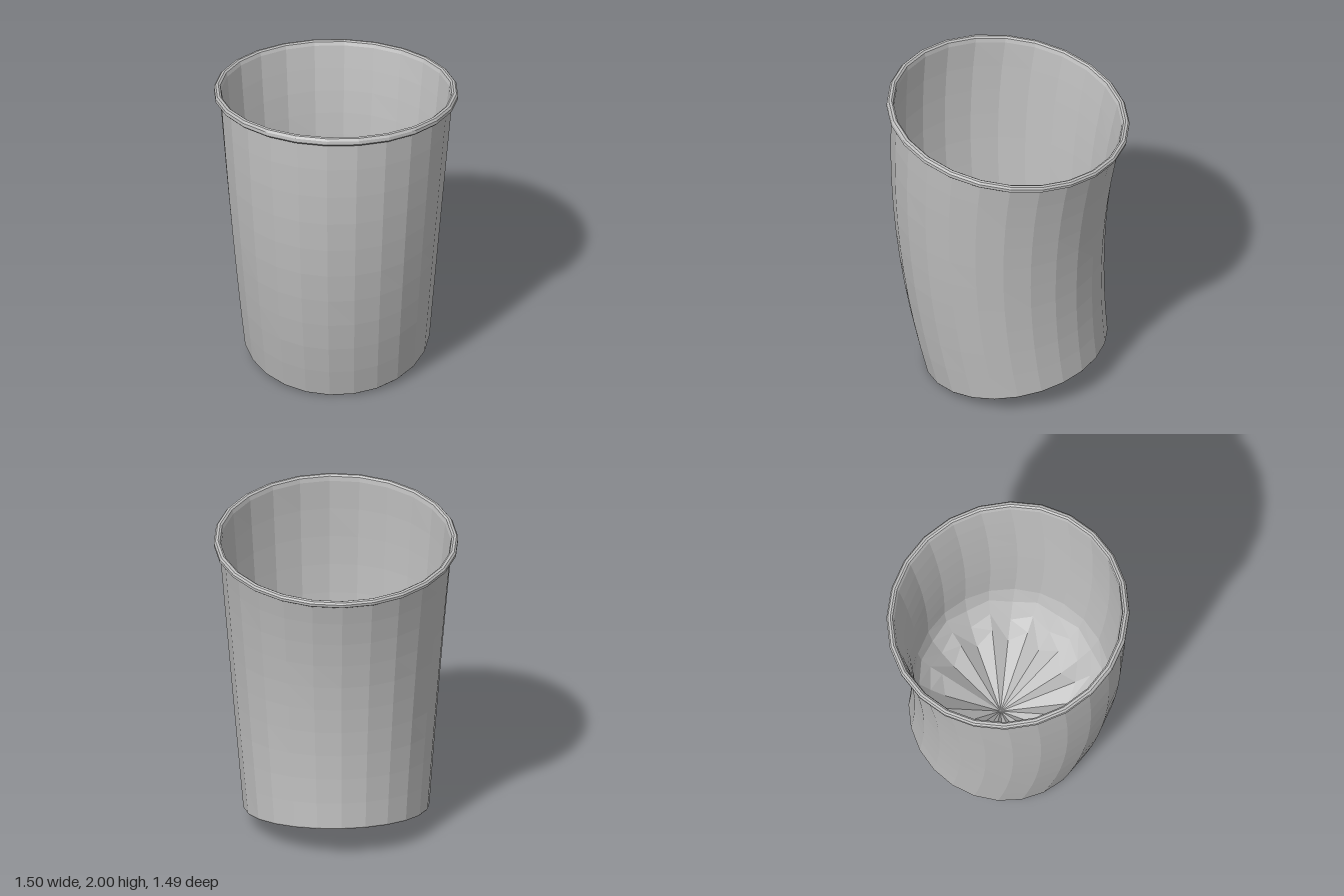
import * as THREE from 'three';

const SIDES = 24;
const TILT0 = 0.187, TILT1 = -0.134; // lean of the axis at the base and at the lip
const LENGTH = 1.803;
const BEND = LENGTH / (TILT0 - TILT1); // radius of the bent axis

// Carries a straight cup point (x, s, z) onto the curved axis
function bend(geometry) {
  const p = geometry.attributes.position;
  for (let i = 0; i < p.count; i++) {
    const s = p.getY(i), z = p.getZ(i);
    const a = TILT0 - s / BEND;
    p.setY(i, 0.106 + BEND * (Math.sin(TILT0) - Math.sin(a)) - z * Math.sin(a));
    p.setZ(i, -0.045 + BEND * (Math.cos(a) - Math.cos(TILT0)) + z * Math.cos(a));
  }
  geometry.computeVertexNormals();
  return geometry;
}

// Ring profile of [radius, height, pleat]; odd columns sink inward by the pleat
function turned(name, profile, material) {
  const n = profile.length;
  const geometry = new THREE.LatheGeometry(profile.map(([r, s]) => new THREE.Vector2(r, s)), SIDES);
  const p = geometry.attributes.position;
  for (let i = 1; i < SIDES; i += 2) {
    profile.forEach(([r, s, pleat = 0], j) => {
      if (!pleat) return;
      const k = i * n + j, f = (r - pleat * 0.5) / r;
      p.setXYZ(k, p.getX(k) * f, s - pleat, p.getZ(k) * f);
    });
  }
  const mesh = new THREE.Mesh(bend(geometry), material);
  mesh.name = name;
  return mesh;
}

// Straight taper between two rings, in even rows
function taper(r0, s0, r1, s1, rows) {
  return Array.from({ length: rows + 1 }, (_, i) => [
    r0 + (r1 - r0) * i / rows,
    s0 + (s1 - s0) * i / rows,
  ]);
}

export function createModel() {
  const grey = new THREE.MeshStandardMaterial({ color: 0xbebebe, flatShading: true });
  grey.name = 'plain grey';

  const cup = new THREE.Group();
  cup.name = 'bentCup';
  cup.add(
    // underside, slightly recessed inside a narrow foot ring
    turned('base', [[0, 0.015], [0.545, 0.015], [0.55, 0], [0.564, 0], [0.571, 0.01]], grey),
    turned('outerWall', taper(0.571, 0.01, 0.716, 1.77, 10), grey),
    // rolled lip
    turned('rim', [
      [0.714, 1.757], [0.738, 1.756], [0.75, 1.767], [0.75, 1.787],
      [0.74, 1.8], [0.724, 1.803], [0.712, 1.795], [0.704, 1.77],
    ], grey),
    turned('innerWall', taper(0.704, 1.77, 0.605, 0.6, 7), grey),
    // pleats grow from the wall down to the star
    turned('pleatedBowl', [[0.605, 0.6], [0.575, 0.5, 0.025], [0.51, 0.42, 0.055], [0.425, 0.35, 0.09]], grey),
    turned('starFloor', [[0.425, 0.35, 0.09], [0, 0.02]], grey),
  );
  return cup;
}
